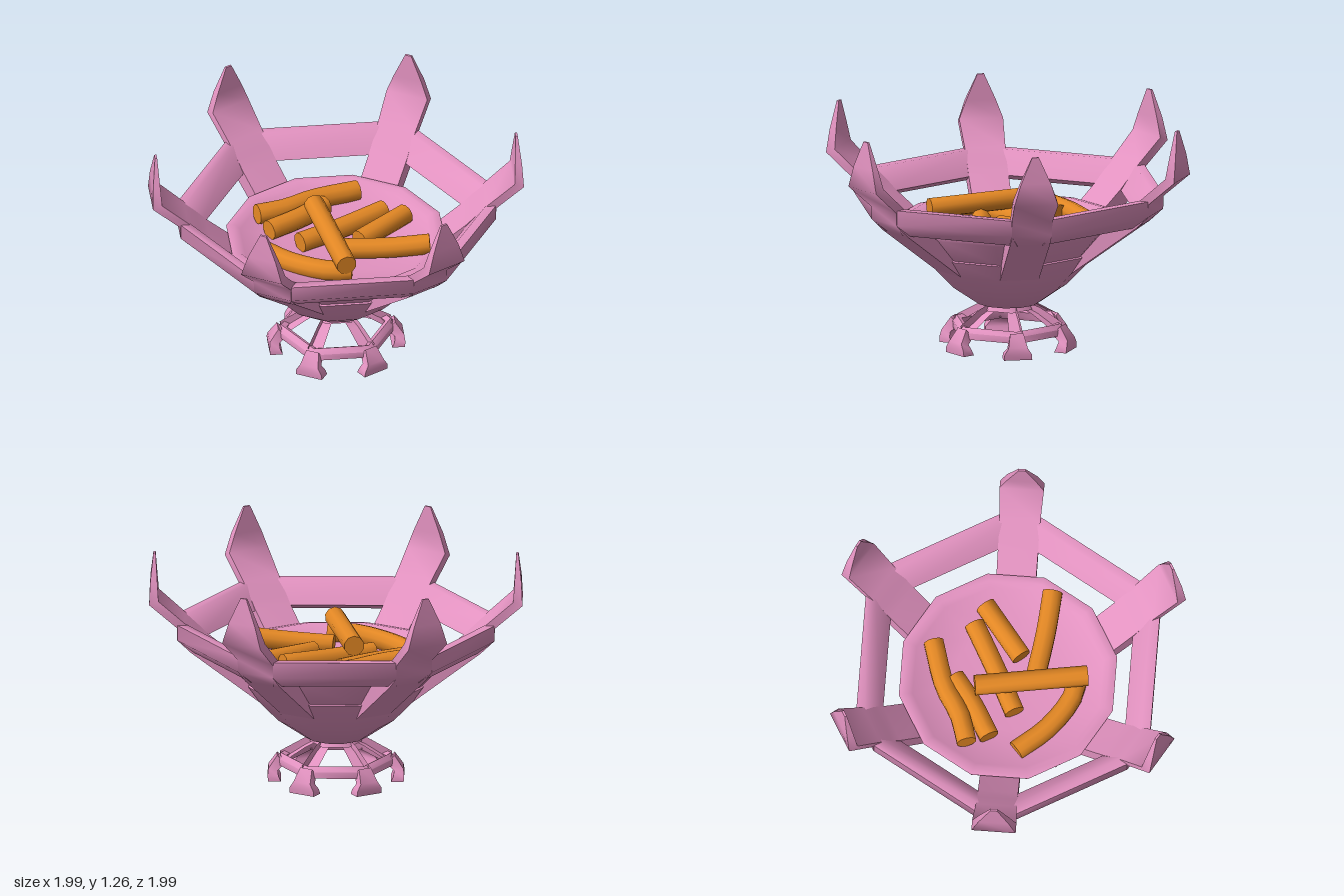
import * as THREE from 'three';
import { toCreasedNormals } from 'three/addons/utils/BufferGeometryUtils.js';

const pink = new THREE.MeshStandardMaterial({ color: 0xe292c0 });
pink.name = 'pink ceramic';
const orange = new THREE.MeshStandardMaterial({ color: 0xe28724 });
orange.name = 'orange sticks';

// Joins equal-sized loops of points (counterclockwise about the path) into a capped solid
function loft(loops) {
  const pos = [];
  const tri = (...p) => p.forEach((v) => pos.push(v.x, v.y, v.z));
  const n = loops[0].length;
  for (let j = 0; j < loops.length - 1; j++) {
    for (let i = 0; i < n; i++) {
      const k = (i + 1) % n;
      const [a, b, c, d] = [loops[j][i], loops[j][k], loops[j + 1][k], loops[j + 1][i]];
      tri(a, b, d);
      tri(b, c, d);
    }
  }
  const first = loops[0], last = loops[loops.length - 1];
  for (let i = 1; i < n - 1; i++) {
    tri(first[0], first[i + 1], first[i]);
    tri(last[0], last[i], last[i + 1]);
  }
  const g = new THREE.BufferGeometry();
  g.setAttribute('position', new THREE.Float32BufferAttribute(pos, 3));
  return toCreasedNormals(g, 1.1);
}

// Radial bar, bottom to top: each station is [outer r, outer y, inner r, inner y, half width]
function bar(stations) {
  return loft(stations.map(([ro, yo, ri, yi, w]) => [
    new THREE.Vector3(ro, yo, w), new THREE.Vector3(ro, yo, -w),
    new THREE.Vector3(ri, yi, -w), new THREE.Vector3(ri, yi, w),
  ]));
}

// Straight rail across the radius: each corner is [r, y, half length]
function rail(corners) {
  return loft([-1, 1].map((s) => corners.map(([r, y, h]) => new THREE.Vector3(r, y, s * h))));
}

// Turned part from [radius, y] points
function turned(points, sides, start = 0) {
  const pts = points.map(([r, y]) => new THREE.Vector2(r, y));
  return toCreasedNormals(new THREE.LatheGeometry(pts, sides, start), 1.1);
}

// Closed hexagonal ring with its corners in line with the arms
function hexRing(points) {
  return turned([...points, points[0]], 6, Math.PI / 4);
}

// Bent stick along a path with flat ends
function stick(points, radius) {
  const curve = new THREE.CatmullRomCurve3(points.map((p) => new THREE.Vector3(...p)));
  const steps = points.length > 2 ? 8 : 1, sides = 10;
  const { normals, binormals } = curve.computeFrenetFrames(steps, false);
  const loops = [];
  for (let j = 0; j <= steps; j++) {
    const c = curve.getPointAt(j / steps);
    loops.push(Array.from({ length: sides }, (_, i) => {
      const a = (i / sides) * Math.PI * 2;
      return c.clone()
        .addScaledVector(normals[j], Math.cos(a) * radius)
        .addScaledVector(binormals[j], Math.sin(a) * radius);
    }));
  }
  return loft(loops);
}

export function createModel() {
  const model = new THREE.Group();
  model.name = 'spikedBowl';
  const add = (name, geometry, material, angle = 0) => {
    const mesh = new THREE.Mesh(geometry, material);
    mesh.name = name;
    mesh.rotation.y = -angle;
    model.add(mesh);
  };

  // Bowl with a stepped outer cup and a shallow dish
  add('bowl', turned([
    [0, 0.24], [0.17, 0.24], [0.32, 0.345], [0.42, 0.45], [0.485, 0.545], [0.475, 0.55],
    [0.59, 0.68], [0.595, 0.695], [0.55, 0.705], [0.52, 0.68], [0.3, 0.645], [0, 0.635],
  ], 12), pink);

  // Hexagonal rings of the foot
  add('footRing', hexRing([
    [0.277, 0.08], [0.325, 0.08], [0.325, 0.115], [0.295, 0.14], [0.265, 0.125],
  ]), pink);
  add('pedestalCollar', hexRing([
    [0.1, 0.205], [0.14, 0.205], [0.12, 0.24], [0.08, 0.24],
  ]), pink);

  // Six arms ending in pointed blades, joined by rails, each above a clawed leg
  const arm = bar([
    [0.29, 0.345, 0.24, 0.39, 0.1], [0.405, 0.45, 0.36, 0.51, 0.105],
    [0.776, 0.73, 0.69, 0.775, 0.108], [0.85, 0.8, 0.745, 0.83, 0.108],
    [0.852, 0.87, 0.81, 0.895, 0.11], [1.0, 1.0, 0.95, 1.02, 0.119],
    [0.994, 1.12, 0.957, 1.12, 0.081], [0.978, 1.262, 0.966, 1.262, 0.018],
  ]);
  const crownRail = rail([
    [0.79, 0.885, 0.33], [0.74, 0.885, 0.36], [0.65, 0.765, 0.36],
    [0.71, 0.73, 0.33], [0.79, 0.8, 0.33],
  ]);
  const leg = bar([
    [0.3, 0.14, 0.28, 0.1, 0.034], [0.17, 0.215, 0.16, 0.18, 0.028],
    [0.09, 0.24, 0.11, 0.205, 0.024],
  ].map(([ro, yo, ri, yi, w]) => [ri, yi, ro, yo, w]).reverse().map((s) => s).reverse());
  const claw = bar([
    [0.363, 0, 0.295, 0, 0.076], [0.366, 0.03, 0.308, 0.03, 0.074],
    [0.362, 0.065, 0.312, 0.055, 0.052], [0.315, 0.135, 0.27, 0.09, 0.036],
  ]);
  for (let i = 0; i < 6; i++) {
    const angle = Math.PI / 4 + (i * Math.PI) / 3;
    add('arm', arm, pink, angle);
    add('crownRail', crownRail, pink, angle + Math.PI / 6);
    add('leg', leg, pink, angle);
    add('claw', claw, pink, angle);
  }

  // Loose pile of sticks in the dish
  const sticks = [
    [[-0.44, 0.73, -0.08], [-0.3, 0.72, -0.17], [-0.17, 0.71, -0.3], [0.05, 0.7, -0.44]],
    [[-0.36, 0.7, 0.02], [-0.22, 0.7, -0.12], [-0.1, 0.7, -0.27]],
    [[-0.18, 0.69, 0.1], [0, 0.69, -0.06], [0.22, 0.7, -0.27]],
    [[0.13, 0.69, 0.03], [0.34, 0.7, -0.25]],
    [[-0.14, 0.79, -0.14], [0.12, 0.77, 0.41]],
    [[0.05, 0.7, 0.14], [0.3, 0.71, 0.11], [0.52, 0.73, 0.07]],
    [[-0.38, 0.68, 0.18], [-0.2, 0.69, 0.3], [0, 0.7, 0.365], [0.14, 0.7, 0.35]],
  ];
  sticks.forEach((path) => add('stick', stick(path, 0.055), orange));

  return model;
}
